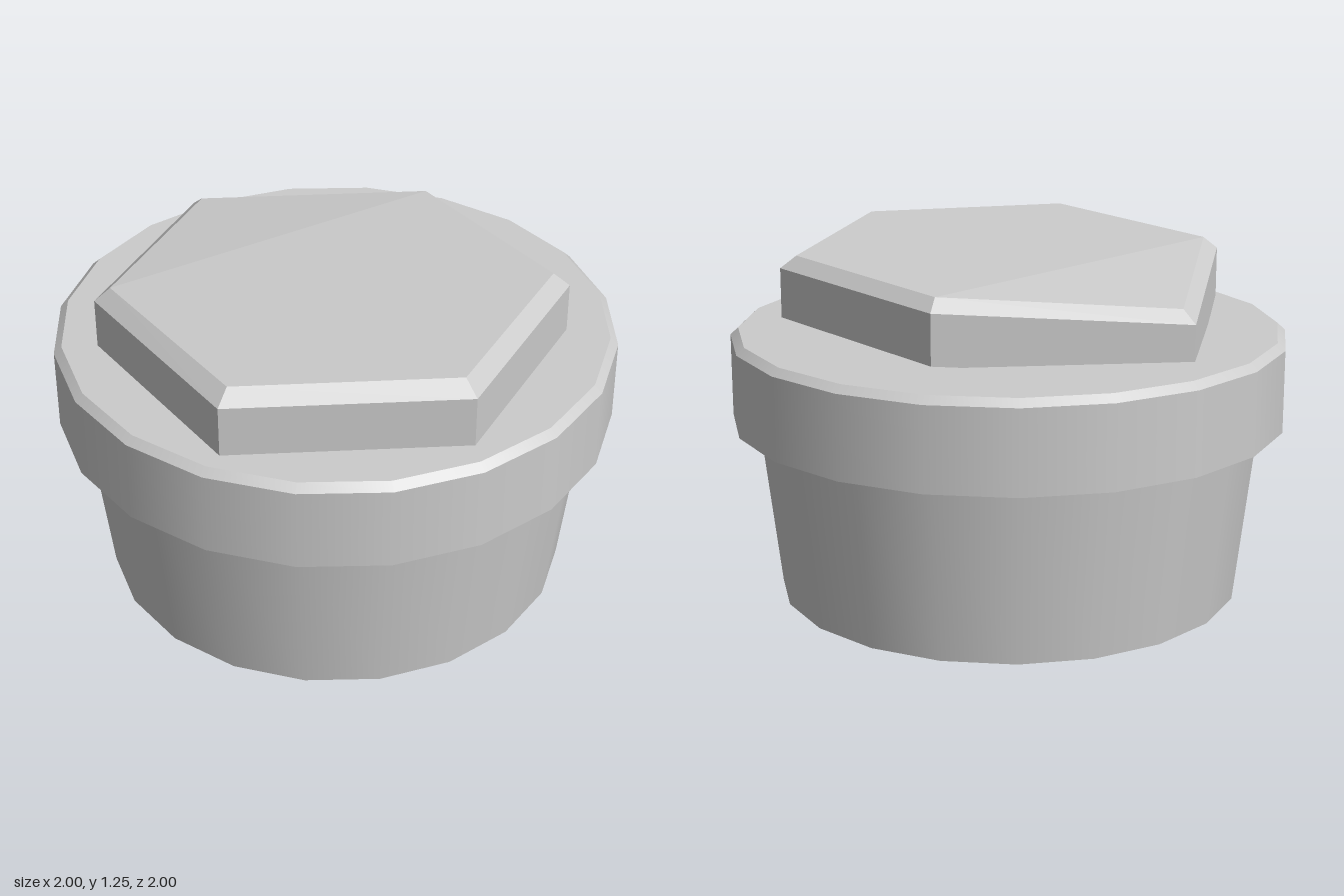
import * as THREE from 'three';

const material = new THREE.MeshStandardMaterial({ color: 0xcccccc, side: THREE.DoubleSide });

// One band of the pot; separate bands keep the edges between them sharp
function band(name, r0, y0, r1, y1) {
  const points = [new THREE.Vector2(r0, y0), new THREE.Vector2(r1, y1)];
  const mesh = new THREE.Mesh(new THREE.LatheGeometry(points, 20), material);
  mesh.name = name;
  return mesh;
}

// Irregular slab: open underneath, upright sides, chamfered upper edge
function slabGeometry() {
  // x, z of the outer edge, its height, then x, z of the inset top corner
  const corners = [
    [0.08, -0.66, 1.15, 0.08, -0.61],
    [0.78, -0.24, 1.175, 0.725, -0.22],
    [0.765, 0.57, 1.2, 0.71, 0.535],
    [0.05, 0.97, 1.2, 0.05, 0.905],
    [-0.65, 0.55, 1.175, -0.605, 0.515],
    [-0.745, -0.33, 1.09, -0.695, -0.3],
  ];
  const rings = [
    corners.map(([x, z, y]) => [x, y - 0.18, z]),
    corners.map(([x, z, y]) => [x, y, z]),
    corners.map(([, , y, x, z]) => [x, y + 0.045, z]),
  ];
  const positions = [];
  const triangle = (a, b, c) => positions.push(...a, ...b, ...c);
  const n = corners.length;
  for (let r = 0; r < 2; r++) {
    for (let i = 0; i < n; i++) {
      const j = (i + 1) % n;
      triangle(rings[r][i], rings[r + 1][i], rings[r + 1][j]);
      triangle(rings[r][i], rings[r + 1][j], rings[r][j]);
    }
  }
  for (let i = 1; i < n - 1; i++) triangle(rings[2][0], rings[2][i + 1], rings[2][i]);

  const geometry = new THREE.BufferGeometry();
  geometry.setAttribute('position', new THREE.Float32BufferAttribute(positions, 3));
  geometry.computeVertexNormals();
  return geometry;
}

export function createModel() {
  const model = new THREE.Group();
  model.name = 'coveredPot';

  // Hollow pot, open at the bottom
  const pot = new THREE.Group();
  pot.name = 'pot';
  pot.add(
    band('taperedBody', 0.838, 0, 0.91, 0.622),
    band('rimUnderside', 0.91, 0.622, 1, 0.64),
    band('rimWall', 1, 0.64, 1, 0.937),
    band('rimChamfer', 1, 0.937, 0.972, 0.963),
    band('potTop', 0.972, 0.963, 0, 0.963),
  );

  // Tilted slab resting on the pot
  const slab = new THREE.Mesh(slabGeometry(), material);
  slab.name = 'slabLid';

  model.add(pot, slab);
  return model;
}
